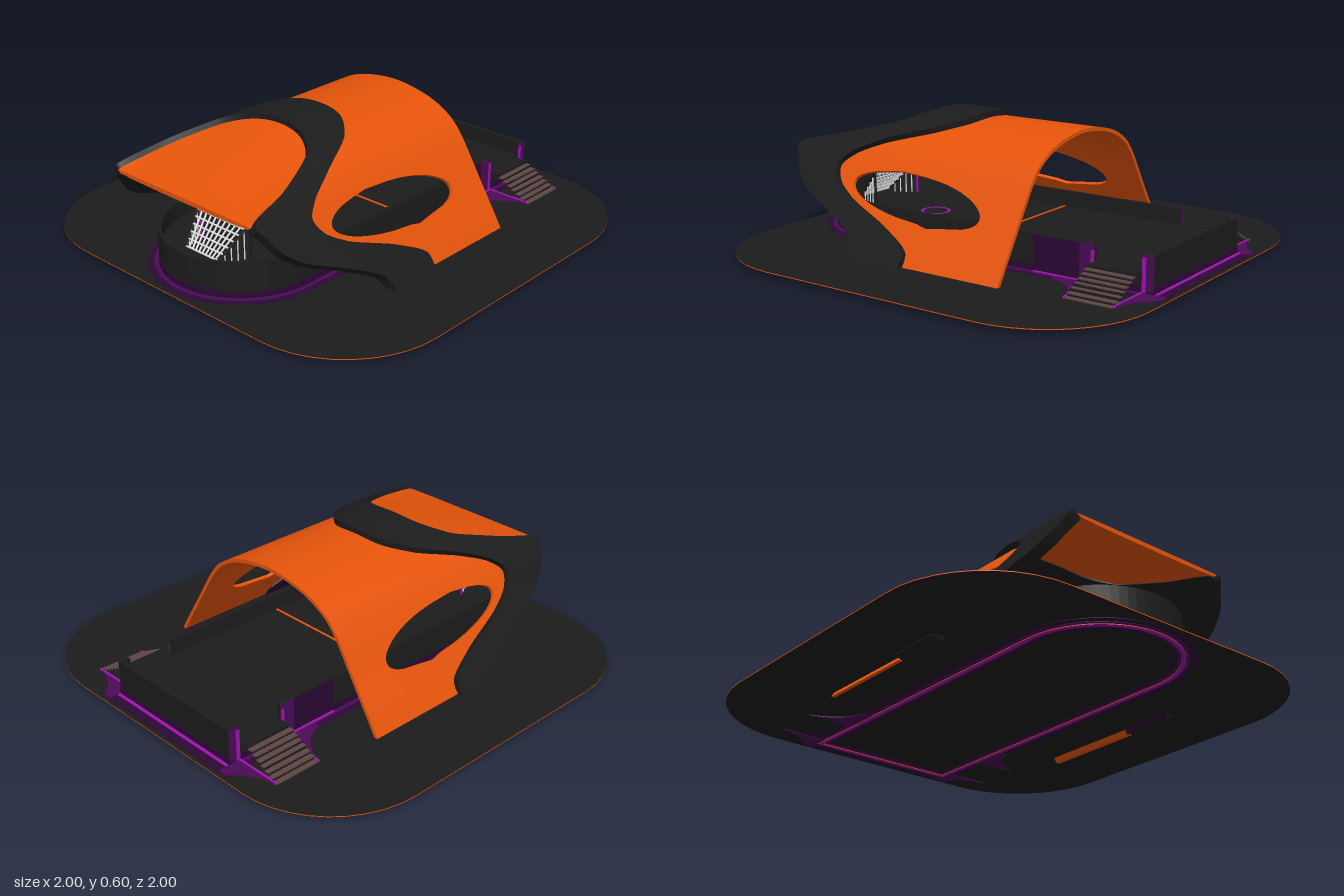
import * as THREE from 'three';
import { toCreasedNormals } from 'three/addons/utils/BufferGeometryUtils.js';

const paint = (name, color) => {
  const m = new THREE.MeshStandardMaterial({ color });
  m.name = name;
  return m;
};

export function createModel() {
  const root = new THREE.Group();
  const dark = paint('charcoal', 0x1c1c1c);
  const orange = paint('orange', 0xe6540a);
  const brown = paint('brown step', 0x5c4642);
  const violet = paint('bright violet', 0xa012b0);
  const purple = paint('purple glow', 0x4a0b56);
  const plum = paint('dark plum', 0x2c0834);
  const white = paint('net white', 0xffffff);

  const add = (name, geo, mat, parent = root) => {
    const mesh = new THREE.Mesh(geo, mat);
    mesh.name = name;
    parent.add(mesh);
    return mesh;
  };
  const box = (name, x0, x1, y0, y1, z0, z1, mat, parent) => {
    const mesh = add(name, new THREE.BoxGeometry(x1 - x0, y1 - y0, Math.abs(z1 - z0)), mat, parent);
    mesh.position.set((x0 + x1) / 2, (y0 + y1) / 2, (z0 + z1) / 2);
  };
  const slab = (name, shape, y0, y1, mat, seg = 16) => {
    const geo = new THREE.ExtrudeGeometry(shape, { depth: y1 - y0, bevelEnabled: false, curveSegments: seg });
    add(name, geo.rotateX(-Math.PI / 2).translate(0, y0, 0), mat);
  };
  const bar = (name, a, b, r, mat, parent) => {
    const d = b.clone().sub(a);
    const mesh = add(name, new THREE.CylinderGeometry(r, r, d.length(), 5), mat, parent);
    mesh.position.copy(a).add(b).multiplyScalar(0.5);
    mesh.quaternion.setFromUnitVectors(new THREE.Vector3(0, 1, 0), d.normalize());
  };
  const V = (x, y, z) => new THREE.Vector3(x, y, z);

  // Ground plate with rounded corners
  const plate = new THREE.Shape();
  const c = 0.53, r = 0.47;
  [[c, c], [-c, c], [-c, -c], [c, -c]].forEach(([x, y], i) =>
    plate.absarc(x, y, r, i * Math.PI / 2, (i + 1) * Math.PI / 2));
  slab('groundPlate', plate, 0.022, 0.026, [dark, orange], 5);

  // Arena outline: straight at +x, half round at -x, grown by g
  const outline = (g, Type = THREE.Shape) => {
    const s = new Type(), w = 0.36 + g;
    s.moveTo(0.92 + g, -w);
    s.lineTo(0.92 + g, w);
    s.lineTo(-0.57, w);
    s.absarc(-0.57, 0, w, Math.PI / 2, Math.PI * 1.5);
    s.closePath();
    return s;
  };
  const ring = (g0, g1) => {
    const s = outline(g1);
    s.holes.push(outline(g0, THREE.Path));
    return s;
  };
  slab('arenaDeck', outline(0), 0.03, 0.115, dark);
  slab('kerb', ring(-0.02, 0.003), 0.025, 0.058, plum);
  slab('groundGlow', ring(-0.045, 0.05), 0.02, 0.028, plum);
  slab('innerGlow', ring(-0.028, 0.022), 0.0185, 0.0295, purple);
  slab('kerbUnderLine', ring(-0.014, 0.006), 0.015, 0.02, [violet, orange]);

  // Arena walls, open at the two stairways
  const u = new THREE.Shape();
  u.moveTo(0.65, 0.36);
  u.lineTo(-0.57, 0.36);
  u.absarc(-0.57, 0, 0.36, Math.PI / 2, Math.PI * 1.5);
  u.lineTo(0.65, -0.36);
  u.lineTo(0.65, -0.345);
  u.lineTo(-0.57, -0.345);
  u.absarc(-0.57, 0, 0.345, Math.PI * 1.5, Math.PI / 2, true);
  u.lineTo(0.65, 0.345);
  slab('roundWall', u, 0.11, 0.187, dark);
  box('endWall', 0.9, 0.92, 0.11, 0.187, -0.36, 0.36, dark);
  box('endGlow', 0.92, 0.98, 0.021, 0.03, -0.42, 0.42, plum);
  box('endGroundLine', 0.925, 0.94, 0.027, 0.033, -0.36, 0.36, violet);
  box('floorHalfLine', 0.045, 0.055, 0.115, 0.118, -0.34, 0.34, orange);
  const circle = add('floorCircle', new THREE.RingGeometry(0.055, 0.068, 32), violet);
  circle.rotation.x = -Math.PI / 2;
  circle.position.set(-0.38, 0.118, 0.08);

  for (const s of [1, -1]) {
    const side = new THREE.Group();
    side.name = s > 0 ? 'frontStairway' : 'backStairway';
    root.add(side);
    box('wallCorner', 0.87, 0.92, 0.11, 0.187, s * 0.345, s * 0.36, dark, side);
    box('wallPanel', 0.36, 0.58, 0.04, 0.187, s * 0.36, s * 0.364, plum, side);
    box('wallEndPanel', 0.58, 0.65, 0.04, 0.187, s * 0.36, s * 0.364, purple, side);
    box('cornerPanel', 0.87, 0.92, 0.04, 0.187, s * 0.36, s * 0.364, purple, side);
    box('wallTrim', 0.36, 0.65, 0.028, 0.034, s * 0.362, s * 0.374, violet, side);
    box('leftPost', 0.636, 0.65, 0.034, 0.165, s * 0.362, s * 0.368, violet, side);
    box('rightPost', 0.87, 0.886, 0.034, 0.175, s * 0.362, s * 0.368, violet, side);
    // Stairs of thin treads and risers
    box('landing', 0.65, 0.87, 0.112, 0.12, s * 0.35, s * 0.415, dark, side);
    for (let i = 0; i < 7; i++) {
      const z = 0.415 + i * 0.0245, y = 0.108 - i * 0.013;
      box('tread', 0.65, 0.87, y - 0.005, y, s * z, s * (z + 0.0245), brown, side);
      box('riser', 0.65, 0.87, y - 0.005, y + 0.012, s * (z - 0.003), s * z, dark, side);
    }
    // Flared coloured patches around the stairs, showing on both faces of the plate
    for (const [edge, bend, far] of [[0.65, 0.6, 0.48], [0.87, 0.91, 0.98]]) {
      const f = new THREE.Shape();
      f.moveTo(edge, s * 0.36);
      f.lineTo(edge, s * 0.585);
      f.quadraticCurveTo(bend, s * 0.43, far, s * 0.41);
      f.lineTo(far, s * 0.36);
      slab('groundPatch', f, 0.018, 0.031, purple);
      box('stairEdge', edge - 0.005, edge + 0.005, 0.027, 0.034, s * 0.36, s * 0.585, violet, side);
    }
  }

  // Goal with a sloping net
  const goal = new THREE.Group();
  goal.name = 'goal';
  root.add(goal);
  const netAt = (a, b) => V(-0.68 - 0.13 * b, 0.272 - 0.14 * b, a * (0.152 - 0.055 * b));
  for (const s of [-1, 1]) {
    bar('goalPost', V(-0.68, 0.115, s * 0.152), V(-0.68, 0.275, s * 0.152), 0.006, s < 0 ? violet : dark, goal);
    bar('goalStay', netAt(s, 0), netAt(s, 1), 0.005, dark, goal);
    for (let i = 1; i < 5; i++) {
      const p = netAt(s, i / 5);
      bar('sideNet', p, V(p.x, 0.115, p.z), 0.003, white, goal);
    }
  }
  bar('crossbar', netAt(-1, 0), netAt(1, 0), 0.006, dark, goal);
  for (let i = 1; i < 10; i++) bar('netStrand', netAt(i / 5 - 1, 0), netAt(i / 5 - 1, 1), 0.0045, white, goal);
  for (let i = 1; i <= 6; i++) bar('netRow', netAt(-1, i / 6), netAt(1, i / 6), 0.0045, white, goal);

  // Canopy rows from foot to crown: height, half width, band left edge, band right edge
  const rows = [
    [0, 0.65, -0.36, -0.12], [0.08, 0.602, -0.40, -0.125], [0.16, 0.552, -0.56, -0.28],
    [0.24, 0.502, -0.75, -0.50], [0.30, 0.465, -0.83, -0.60], [0.36, 0.428, -0.87, -0.63],
    [0.415, 0.39, -0.90, -0.57], [0.468, 0.34, -0.68, -0.44], [0.52, 0.25, -0.46, -0.24],
    [0.552, 0.14, -0.38, -0.14], [0.567, 0, -0.36, -0.12]];
  const all = [...rows, ...rows.slice(0, -1).reverse().map(([y, z, a, b]) => [y, -z, a, b])];
  const arch = new THREE.CatmullRomCurve3(all.map(([y, z]) => V(0, y, z)));
  const edgeCurve = k => new THREE.CatmullRomCurve3(all.map(q => V(q[k], q[0], q[1])));
  const leftCurve = edgeCurve(2), rightCurve = edgeCurve(3);
  const at = fx => t => { const p = arch.getPoint(t); p.x = fx(t, p); return p; };
  const bandLeft = at(t => leftCurve.getPoint(t).x);
  const bandRight = at(t => rightCurve.getPoint(t).x);

  // Closed thick sheet between two edge curves that follow the arch
  const sheet = (name, a, b, t0, t1, out, inn, mat, n = 160, m = 4) => {
    const pos = [], idx = [], k = 2 * (m + 1);
    for (let i = 0; i <= n; i++) {
      const t = t0 + (t1 - t0) * i / n, T = arch.getTangent(t);
      const nrm = V(0, -T.z, T.y), p = a(t), q = b(t);
      for (let j = 0; j < k; j++) {
        const outer = j <= m;
        const v = p.clone().lerp(q, (outer ? j : k - 1 - j) / m).addScaledVector(nrm, outer ? out : inn);
        pos.push(v.x, Math.max(0, v.y), v.z);
      }
    }
    for (let i = 0; i < n; i++) for (let j = 0; j < k; j++) {
      const A = i * k + j, B = i * k + (j + 1) % k;
      idx.push(A, B, A + k, B, B + k, A + k);
    }
    for (let j = 0; j < m; j++) {
      const A = j, B = j + 1, C = k - 1 - j, D = k - 2 - j, e = n * k;
      idx.push(A, C, B, B, C, D, A + e, B + e, C + e, B + e, D + e, C + e);
    }
    const g = new THREE.BufferGeometry();
    g.setAttribute('position', new THREE.Float32BufferAttribute(pos, 3));
    g.setIndex(idx);
    add(name, toCreasedNormals(g, 0.7), mat);
  };

  // Sheared oval window, blunter at its +x end, cut through each flank of the main shell
  const windowX = (dir, power) => (t, p) => {
    const v = THREE.MathUtils.clamp((p.y - 0.28) / 0.091, -1, 1);
    return -0.175 - 0.11 * v + dir * 0.337 * Math.pow(1 - v * v, power);
  };
  sheet('shellBesideBand', bandRight, at(windowX(-1, 0.55)), 0, 1, 0, -0.016, orange);
  sheet('shellBesideOpening', at(windowX(1, 0.4)), at(() => 0.372), 0, 1, 0, -0.016, orange);
  sheet('sweepingBand', bandLeft, bandRight, 0, 1, 0.028, -0.022, dark);

  // Plum lining on the inside of the band's feet
  sheet('frontFootLining', bandLeft, bandRight, 0, 0.13, -0.02, -0.024, plum, 20);
  sheet('backFootLining', bandLeft, bandRight, 0.87, 1, -0.02, -0.024, plum, 20);

  // Roof that flattens to a straight lip at the far end
  const lip = t => V(-0.905, 0.415, arch.getPoint(t).z);
  sheet('slopingRoof', lip, bandLeft, 0.3, 0.7, 0.004, -0.016, orange, 60, 8);

  return root;
}
